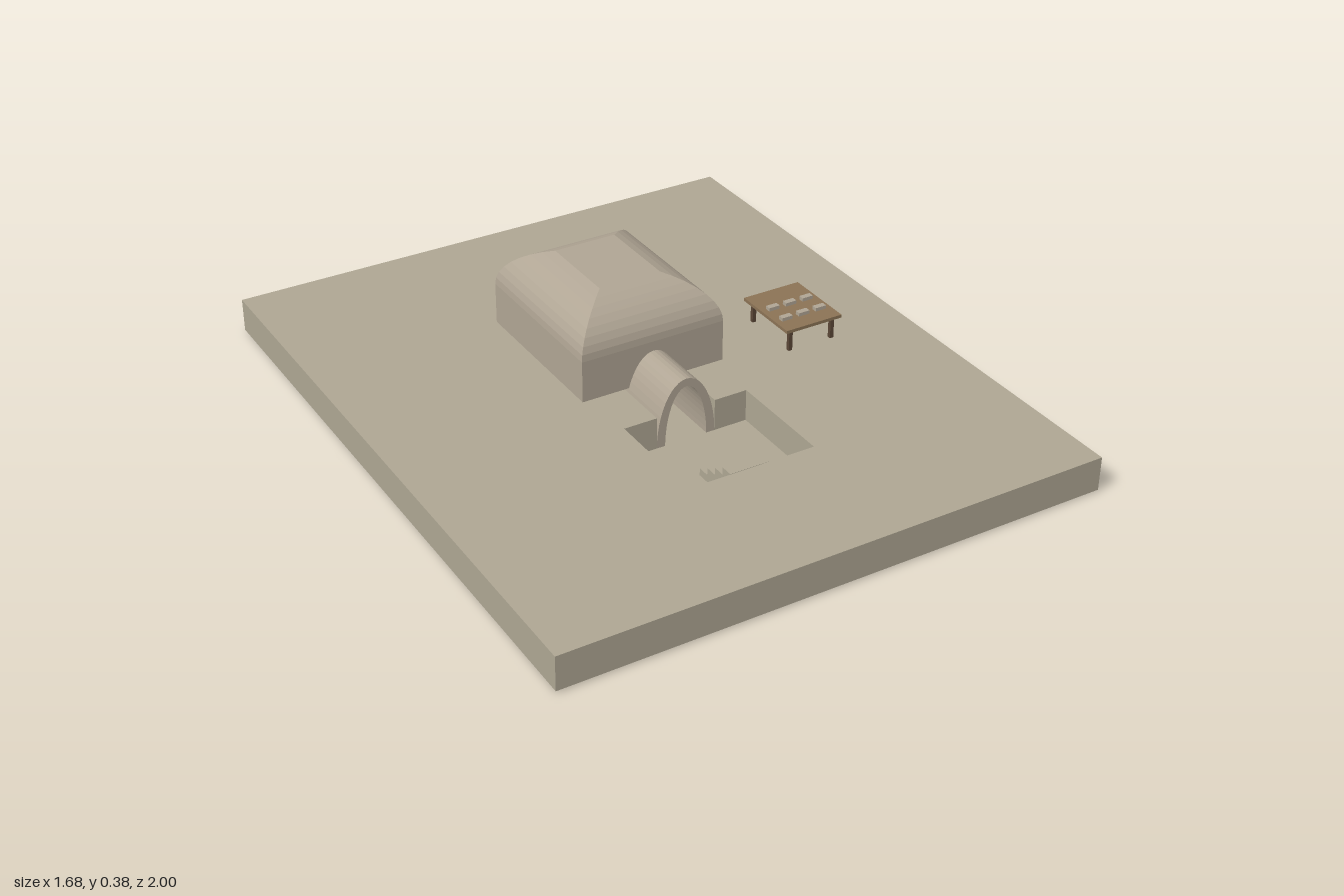
import * as THREE from 'three';

export function createModel() {
  const root = new THREE.Group();
  const mat = (name, color, extra = {}) =>
    new THREE.MeshStandardMaterial({ name, color, ...extra });
  const earth = mat('earth', 0xaea693);
  const clay = mat('clay', 0xb0a594, { side: THREE.DoubleSide, flatShading: true });
  const wood = mat('wood', 0x8b7355);
  const darkWood = mat('dark wood', 0x5a4636);

  const add = (name, geo, material, x = 0, y = 0, z = 0, parent = root) => {
    const m = new THREE.Mesh(geo, material);
    m.name = name;
    m.position.set(x, y, z);
    parent.add(m);
    return m;
  };
  // Box given by its lower and upper corners
  const block = (name, material, x0, x1, y0, y1, z0, z1, parent = root) =>
    add(name, new THREE.BoxGeometry(x1 - x0, y1 - y0, z1 - z0), material,
      (x0 + x1) / 2, (y0 + y1) / 2, (z0 + z1) / 2, parent);
  const extrude = (shape, depth) =>
    new THREE.ExtrudeGeometry(shape, { depth, bevelEnabled: false, curveSegments: 12 });
  const polygon = (pts) => new THREE.Shape(pts.map(([x, y]) => new THREE.Vector2(x, y)));

  const GROUND = 0.11, BASE = 0.005;

  // Ground slab with a cut for the entrance pit and the tunnel (shape y = -z)
  const slab = polygon([[-0.84, -1], [0.84, -1], [0.84, 1], [-0.84, 1]]);
  slab.holes.push(polygon([[-0.2, -0.56], [0.2, -0.56], [0.2, -0.22], [0.095, -0.22],
    [0.095, 0.01], [-0.095, 0.01], [-0.095, -0.22], [-0.2, -0.22]]));
  add('ground', extrude(slab, GROUND - BASE).rotateX(-Math.PI / 2), earth, 0, BASE, 0);

  // Sunken floors
  block('pitFloor', earth, -0.202, 0.202, 0, 0.01, 0.22, 0.562);
  block('tunnelFloor', earth, -0.095, 0.095, 0, 0.01, -0.01, 0.22);

  // Stairs climbing out of the pit
  const stairs = new THREE.Group();
  stairs.name = 'stairs';
  root.add(stairs);
  for (let i = 0; i < 4; i++) {
    const z = 0.395 + i * 0.0385;
    block('step', earth, -0.062, 0.062, 0.01, 0.01 + 0.023 * (i + 1), z, z + 0.0385, stairs);
  }

  // Arched entrance tunnel
  const arch = new THREE.Shape();
  arch.moveTo(0.095, 0);
  arch.absellipse(0, 0, 0.095, 0.205, 0, Math.PI, false);
  arch.lineTo(-0.068, 0);
  arch.absellipse(0, 0, 0.068, 0.18, Math.PI, 0, true);
  arch.closePath();
  add('entranceTunnel', extrude(arch, 0.22), clay, 0, BASE, 0);

  // House: four-sided vault from shrinking rectangular rings, flat on top
  const house = new THREE.Group();
  house.name = 'house';
  root.add(house);
  const HX = 0.232, Z0 = -0.487, Z1 = 0.042, SPRING = 0.24;
  const ring = (inset, y) => [
    [-HX + inset, y, Z1 - inset], [HX - inset, y, Z1 - inset],
    [HX - inset, y, Z0 + inset], [-HX + inset, y, Z0 + inset]];
  const rings = [];
  for (let i = 0; i <= 8; i++) {
    const t = (i / 8) * 1.13;
    rings.push(ring(HX * (1 - Math.cos(t)), SPRING + 0.15 * Math.sin(t)));
  }
  const pos = [];
  const quad = (a, b, c, d) => pos.push(...a, ...b, ...c, ...a, ...c, ...d);
  for (let i = 0; i < 8; i++)
    for (let s = 0; s < 4; s++) {
      const n = (s + 1) % 4;
      quad(rings[i][s], rings[i][n], rings[i + 1][n], rings[i + 1][s]);
    }
  quad(...rings[8]);
  const vault = new THREE.BufferGeometry();
  vault.setAttribute('position', new THREE.Float32BufferAttribute(pos, 3));
  vault.computeVertexNormals();
  add('vaultRoof', vault, clay, 0, 0, 0, house);

  // Straight walls; the front one has the tunnel opening
  const T = 0.012;
  block('sideWall', clay, -HX, -HX + T, GROUND, SPRING, Z0, Z1, house);
  block('sideWall', clay, HX - T, HX, GROUND, SPRING, Z0, Z1, house);
  block('backWall', clay, -HX + T, HX - T, GROUND, SPRING, Z0, Z0 + T, house);
  const front = polygon([[-HX + T, 0], [-0.057, 0]]);
  front.lineTo(-0.045, 0.045);
  front.lineTo(-0.02, 0.07);
  front.lineTo(0, 0.075);
  front.lineTo(0.02, 0.07);
  front.lineTo(0.045, 0.045);
  front.lineTo(0.057, 0);
  front.lineTo(HX - T, 0);
  front.lineTo(HX - T, SPRING - GROUND);
  front.lineTo(-HX + T, SPRING - GROUND);
  add('frontWall', extrude(front, T), clay, 0, GROUND, Z1 - T, house);

  // Hollow chimneys behind the house, each with a hearth inside
  const flue = polygon([[-0.034, -0.03], [0.034, -0.03], [0.034, 0.03], [-0.034, 0.03]]);
  flue.holes.push(polygon([[-0.018, -0.016], [0.018, -0.016], [0.018, 0.016], [-0.018, 0.016]]));
  const hearth = polygon([[-0.02, 0], [-0.007, 0], [-0.007, 0.02], [0.007, 0.02],
    [0.007, 0], [0.02, 0], [0.02, 0.05], [-0.02, 0.05]]);
  for (const x of [-0.11, 0, 0.11]) {
    add('chimney', extrude(flue, 0.127).rotateX(-Math.PI / 2), clay, x, GROUND, -0.515);
    add('hearth', extrude(hearth, 0.03), clay, x, GROUND, Z0 + T);
  }

  // Low table with two rows of clay tablets
  const table = new THREE.Group();
  table.name = 'table';
  table.position.set(0.504, 0, -0.003);
  root.add(table);
  block('tableTop', wood, -0.096, 0.096, 0.178, 0.188, -0.115, 0.115, table);
  for (const x of [-0.073, 0.073])
    for (const z of [-0.097, 0.097])
      block('tableLeg', darkWood, x - 0.006, x + 0.006, GROUND, 0.178, z - 0.006, z + 0.006, table);
  for (const x of [-0.059, 0, 0.059])
    for (const z of [-0.016, 0.053])
      block('tablet', clay, x - 0.018, x + 0.018, 0.188, 0.199, z - 0.009, z + 0.009, table);

  return root;
}
